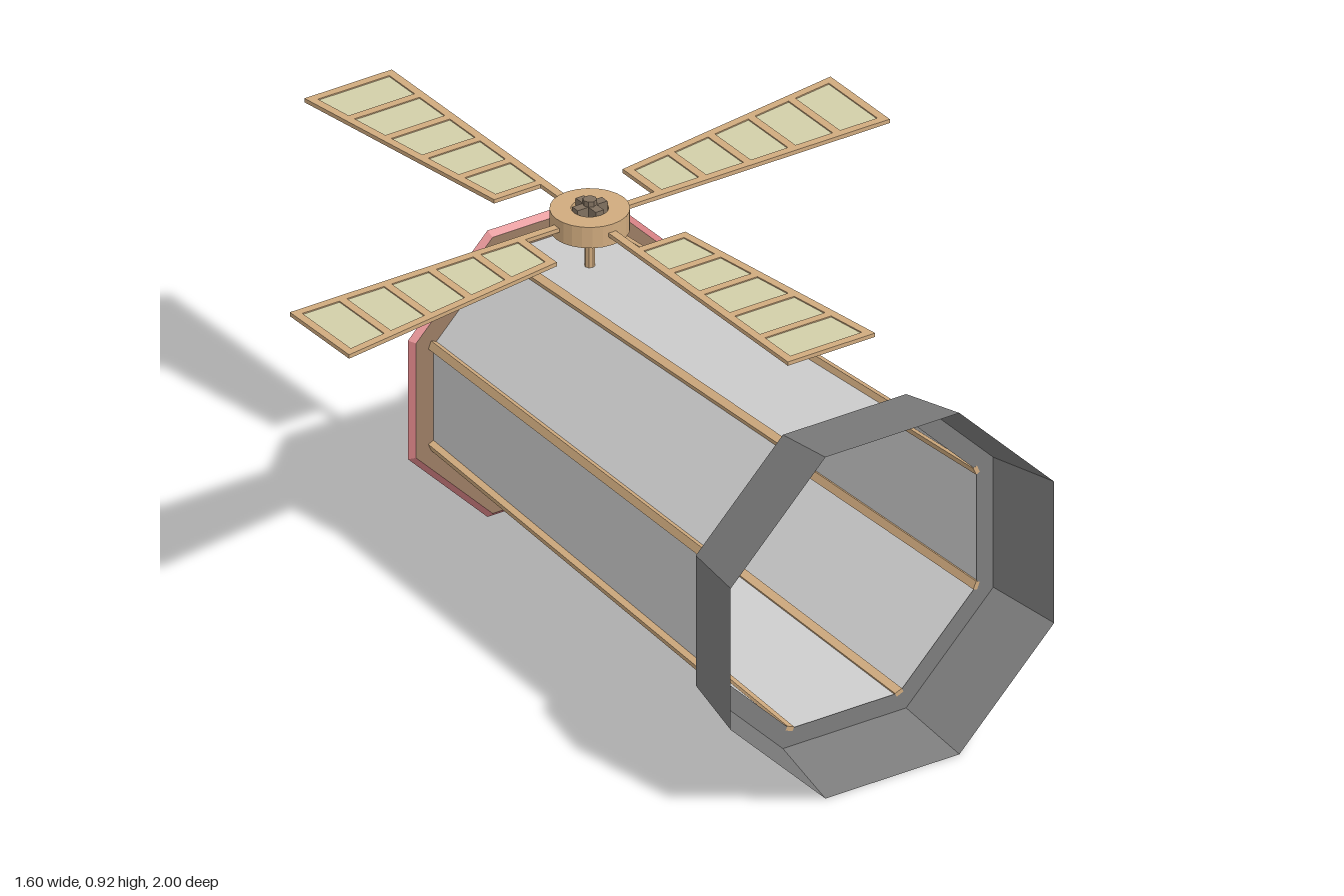
import * as THREE from 'three';

const C8 = Math.cos(Math.PI / 8);
const AXIS_Y = 0.435;

const mat = (color) => new THREE.MeshStandardMaterial({ color, flatShading: true, side: THREE.DoubleSide });

export function createModel() {
  const model = new THREE.Group();
  const grey = mat(0xcccccc), stone = mat(0x7c7c7c), wood = mat(0xcfaa7e);
  const darkWood = mat(0x9a7c64), red = mat(0xd88285), cloth = mat(0xd2cea8), iron = mat(0x80705f);

  const add = (parent, name, geometry, material) => {
    const mesh = new THREE.Mesh(geometry, material);
    mesh.name = name;
    parent.add(mesh);
    return mesh;
  };

  // The tower lies along z, its roof pointing to -z
  const tower = new THREE.Group();
  tower.name = 'tower';
  tower.position.y = AXIS_Y;
  model.add(tower);

  // Eight-sided frustum from z0 (apothem a0) back to z1 (apothem a1)
  const frustum = (name, a0, z0, a1, z1, material, open = true) => {
    const g = new THREE.CylinderGeometry(a1 / C8, a0 / C8, z0 - z1, 8, 1, open);
    g.rotateY(Math.PI / 8).rotateX(-Math.PI / 2).translate(0, 0, (z0 + z1) / 2);
    return add(tower, name, g, material);
  };

  frustum('baseSkirt', 0.435, 1, 0.4, 0.81, stone);
  const ledge = new THREE.RingGeometry(0.355 / C8, 0.4 / C8, 8, 1, Math.PI / 8);
  add(tower, 'baseLedge', ledge.translate(0, 0, 0.81), stone);
  frustum('towerWalls', 0.36, 0.81, 0.305, -0.37, grey);

  // Corner posts along the tower edges
  const r0 = 0.36 / C8, r1 = 0.305 / C8, z0 = 0.81, z1 = -0.37;
  for (let i = 0; i < 8; i++) {
    const corner = new THREE.Group();
    corner.name = 'cornerPost';
    corner.rotation.z = Math.PI / 8 + (i * Math.PI) / 4;
    const post = add(corner, 'post', new THREE.BoxGeometry(0.022, 0.02, Math.hypot(r0 - r1, z0 - z1)), wood);
    post.position.set((r0 + r1) / 2, 0, (z0 + z1) / 2);
    post.rotation.y = Math.atan2(r0 - r1, z0 - z1);
    tower.add(corner);
  }

  // Roof with its underside, rim and finial
  const underside = new THREE.CircleGeometry(0.352 / C8, 8, Math.PI / 8);
  add(tower, 'roofUnderside', underside.translate(0, 0, -0.37), darkWood);
  frustum('roofRim', 0.352, -0.37, 0.365, -0.383, red);
  frustum('roof', 0.365, -0.383, 0.065, -0.575, red);
  frustum('finialCollar', 0.076, -0.57, 0.068, -0.588, wood, false);
  frustum('finialTip', 0.068, -0.588, 0.03, -0.635, wood, false);

  // Rotor on an upright shaft
  const rotor = new THREE.Group();
  rotor.name = 'rotor';
  rotor.position.set(0, 0.87, -0.2);
  model.add(rotor);

  const shaft = new THREE.CylinderGeometry(0.012, 0.012, 0.165, 8);
  add(rotor, 'shaft', shaft.translate(0, -0.0675, 0), wood);

  const hubProfile = [[0.042, -0.028], [0.09, -0.028], [0.09, 0.025], [0.042, 0.025], [0.042, -0.028]];
  add(rotor, 'hubRing', new THREE.LatheGeometry(hubProfile.map((p) => new THREE.Vector2(...p)), 24), wood);
  const core = new THREE.CylinderGeometry(0.042, 0.042, 0.03, 24);
  add(rotor, 'hubCore', core.translate(0, -0.013, 0), iron);
  for (let i = 0; i < 2; i++) {
    const bar = new THREE.BoxGeometry(0.08, 0.034, 0.022);
    add(rotor, 'hubCross', bar.translate(0, 0.018, 0).rotateY((i * Math.PI) / 2), iron);
  }
  const pin = new THREE.CylinderGeometry(0.016, 0.016, 0.03, 8);
  add(rotor, 'hubPin', pin.translate(0, 0.033, 0), iron);

  // Sail outline: u runs outwards, the slanted edge widens with u
  const U0 = 0.18, U1 = 0.8, RAIL = 0.02, V0 = -0.01;
  const slant = (u) => 0.135 + ((u - U0) / (U1 - U0)) * 0.09;
  const quad = (target, ua, ub, inset) => {
    target.moveTo(ua, V0 + inset);
    target.lineTo(ub, V0 + inset);
    target.lineTo(ub, slant(ub) - inset);
    target.lineTo(ua, slant(ua) - inset);
    target.closePath();
    return target;
  };
  const slab = (shape, depth) =>
    new THREE.ExtrudeGeometry(shape, { depth, bevelEnabled: false })
      .translate(0, 0, -depth / 2).rotateX(-Math.PI / 2);

  const frameShape = quad(new THREE.Shape(), U0, U1, 0);
  const pitch = (U1 - U0 - RAIL) / 5;
  for (let i = 0; i < 5; i++) {
    const u = U0 + RAIL + i * pitch;
    frameShape.holes.push(quad(new THREE.Path(), u, u + pitch - RAIL, RAIL));
  }
  const frame = slab(frameShape, 0.01);
  const sheet = slab(quad(new THREE.Shape(), U0 + 0.01, U1 - 0.01, 0.01), 0.004);
  const arm = new THREE.BoxGeometry(0.14, 0.01, 0.02).translate(0.125, 0, 0);

  for (let i = 0; i < 4; i++) {
    const sail = new THREE.Group();
    sail.name = 'sail';
    sail.rotation.y = (i * Math.PI) / 2;
    add(sail, 'sailFrame', frame, wood);
    add(sail, 'sailCloth', sheet, cloth);
    add(sail, 'sailArm', arm, wood);
    rotor.add(sail);
  }
  return model;
}
